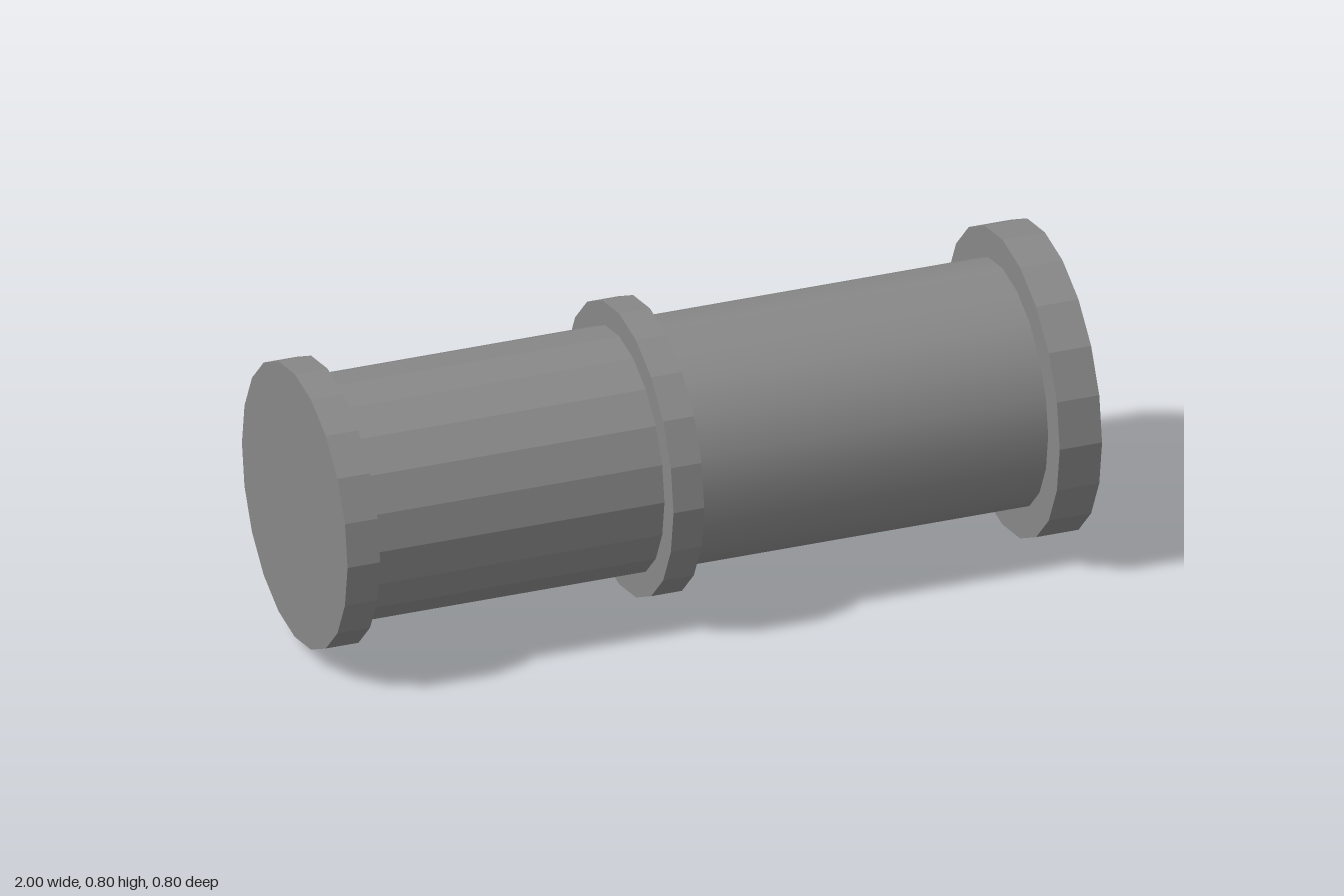
import * as THREE from 'three';

const SIDES = 20;
const AXIS_HEIGHT = 0.4;

export function createModel() {
  const group = new THREE.Group();
  group.name = 'flangedPipe';
  const grey = new THREE.MeshStandardMaterial({ color: 0x888888 });
  grey.name = 'pipeGrey';

  // Turn a profile of [position along x, radius] about the pipe axis
  function addTurned(name, profile, smooth = false) {
    const points = profile.map(([x, r]) => new THREE.Vector2(r, x));
    let geometry = new THREE.LatheGeometry(points, SIDES);
    if (!smooth) {
      geometry = geometry.toNonIndexed();
      geometry.computeVertexNormals();
    }
    geometry.rotateZ(-Math.PI / 2);
    geometry.translate(0, AXIS_HEIGHT, 0);
    const mesh = new THREE.Mesh(geometry, grey);
    mesh.name = name;
    group.add(mesh);
  }

  // Closed end cap and the two open collars
  addTurned('endCap', [[-1, 0], [-1, 0.367], [-0.913, 0.367], [-0.913, 0.31]]);
  addTurned('middleCollar', [[-0.135, 0.31], [-0.135, 0.378], [-0.053, 0.378], [-0.053, 0.31]]);
  addTurned('mouthFlange', [[0.887, 0.31], [0.887, 0.398], [1, 0.398], [1, 0.31]]);

  // Faceted barrel on the closed side, smooth barrel on the open side
  addTurned('facetedBarrel', [[-0.913, 0.315], [-0.135, 0.315]]);
  addTurned('smoothBarrel', [[-0.053, 0.318], [0.887, 0.318]], true);

  // Hollow inside, down to the floor at the end cap
  addTurned('bore', [[1, 0.31], [-0.913, 0.31], [-0.913, 0]]);

  return group;
}
